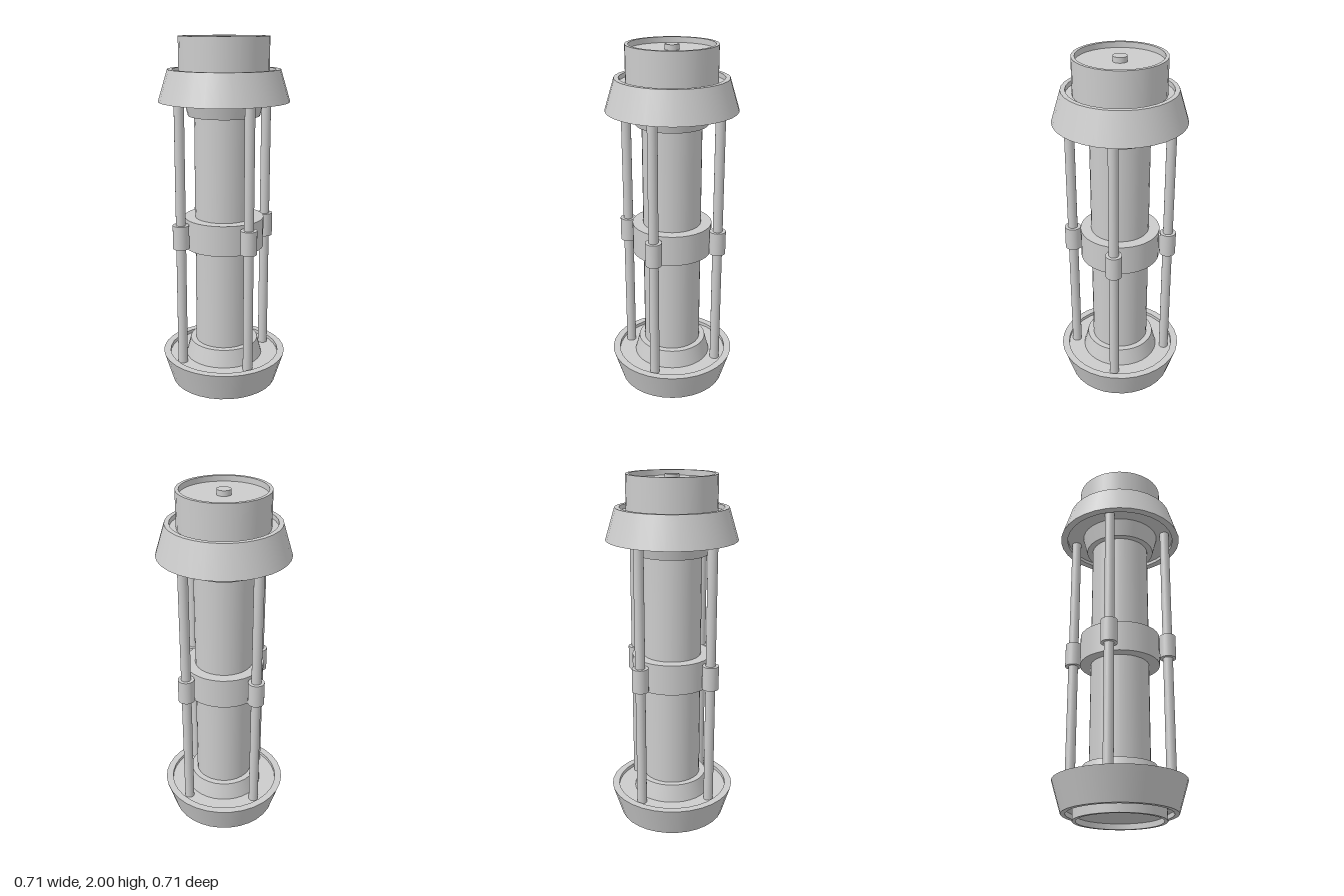
import * as THREE from 'three';
import { mergeGeometries } from 'three/addons/utils/BufferGeometryUtils.js';

const material = new THREE.MeshStandardMaterial({ color: 0xcccccc });

// Turned part: round sides stay smooth, every profile corner stays sharp.
// Profile runs from the lower inside, outwards, up and back in.
function turned(name, profile, segments = 32) {
  const bands = [];
  for (let i = 0; i < profile.length - 1; i++) {
    const pair = [profile[i], profile[i + 1]].map(([r, y]) => new THREE.Vector2(r, y));
    bands.push(new THREE.LatheGeometry(pair, segments));
  }
  const mesh = new THREE.Mesh(mergeGeometries(bands), material);
  mesh.name = name;
  return mesh;
}

// End piece with its wide rim at y = 0, pointing up
function endPiece(name, neckTop) {
  const group = new THREE.Group();
  group.name = name;
  group.add(
    turned('flaredCap', [
      [0.16, 0.02], [0.315, 0.02], [0.315, 0], [0.355, 0],
      [0.303, 0.17], [0.278, 0.17], [0.278, 0.145], [0.24, 0.145],
    ]),
    turned('neck', [
      [0.243, 0.14], [0.243, neckTop], [0.225, neckTop],
      [0.225, neckTop - 0.03], [0, neckTop - 0.03],
    ]),
    turned('taperedSeat', [[0.155, -0.077], [0.195, -0.077], [0.221, 0.025]]),
  );
  return group;
}

export function createModel() {
  const model = new THREE.Group();
  model.name = 'cylinderAssembly';

  // Central tube and its middle band
  model.add(
    turned('centralTube', [[0.162, 0.2], [0.162, 1.67]]),
    turned('middleBand', [[0.16, 0.85], [0.222, 0.85], [0.222, 1.02], [0.16, 1.02]]),
  );

  // Flared ends: the lower one is turned over and has a short neck
  const top = endPiece('topEnd', 0.34);
  top.position.y = 1.66;
  const bottom = endPiece('bottomEnd', 0.205);
  bottom.position.y = 0.205;
  bottom.rotation.x = Math.PI;
  model.add(top, bottom);

  // Small knob in the top recess
  model.add(turned('knob', [[0.038, 1.965], [0.038, 1.998], [0, 1.998]], 24));

  // Four guide rods with collars
  for (let i = 0; i < 4; i++) {
    const angle = i * Math.PI / 2;
    const guide = new THREE.Group();
    guide.name = 'guideRod';
    guide.position.set(0.27 * Math.sin(angle), 0, 0.27 * Math.cos(angle));
    guide.add(
      turned('rod', [[0.027, 0.18], [0.027, 1.685]], 24),
      turned('collar', [[0.025, 0.87], [0.045, 0.87], [0.045, 1.003], [0.025, 1.003]], 24),
    );
    model.add(guide);
  }
  return model;
}
